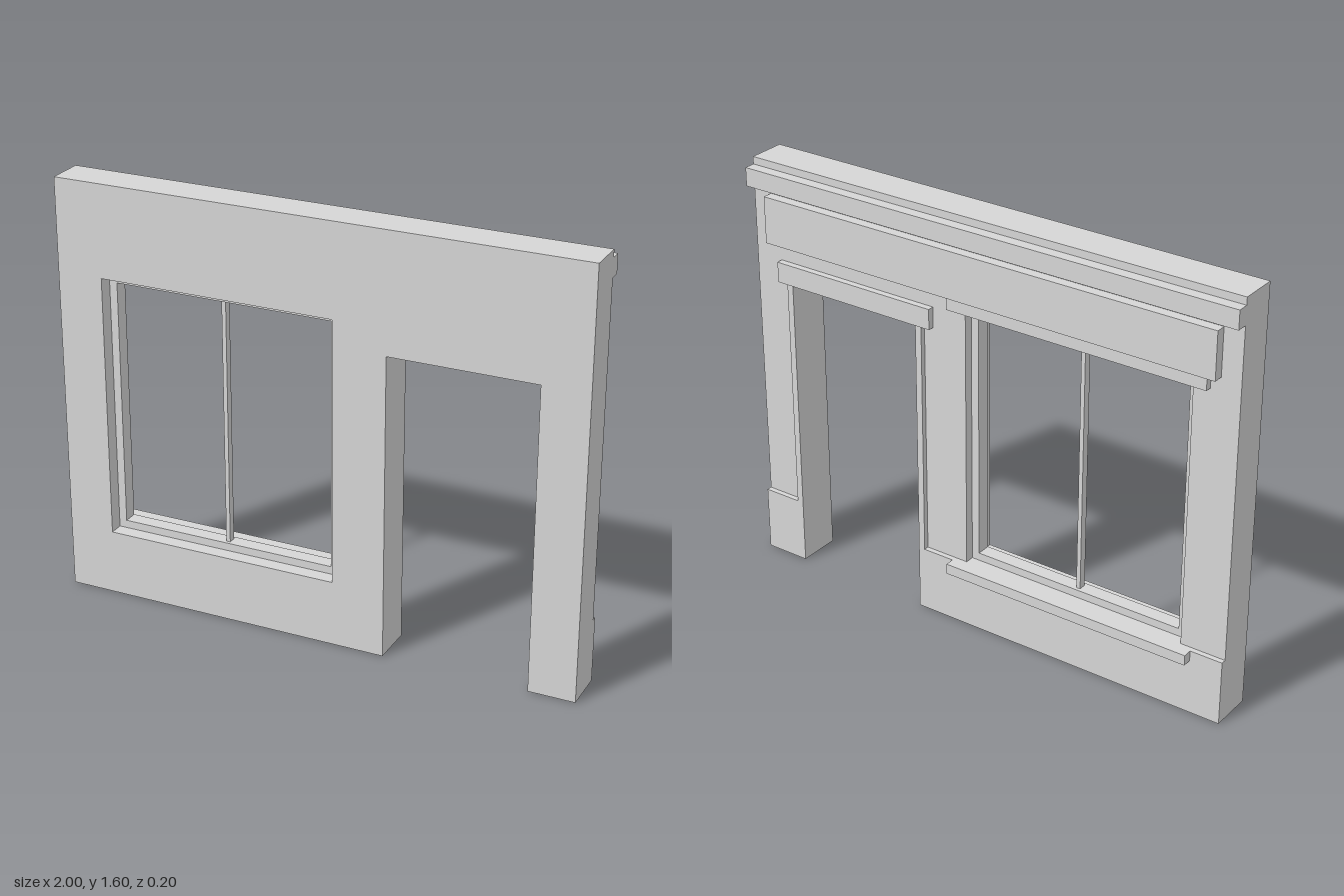
import * as THREE from 'three';

const BACK = -0.045;
const DOOR_TOP = 1.152;

export function createModel() {
  const model = new THREE.Group();
  const plaster = new THREE.MeshStandardMaterial({ color: 0xd6d6d6 });
  plaster.name = 'plainGrey';

  // box given by its extents
  function box(name, x0, x1, y0, y1, z0, z1) {
    const mesh = new THREE.Mesh(new THREE.BoxGeometry(x1 - x0, y1 - y0, z1 - z0), plaster);
    mesh.position.set((x0 + x1) / 2, (y0 + y1) / 2, (z0 + z1) / 2);
    mesh.name = name;
    model.add(mesh);
  }
  const points = (list) => list.map(([x, y]) => new THREE.Vector2(x, y));
  // counter-clockwise rectangle
  const rect = (x0, x1, y0, y1) => points([[x0, y0], [x1, y0], [x1, y1], [x0, y1]]);
  // extruded outline with one hole
  function slab(name, outline, hole, z0, z1) {
    const shape = new THREE.Shape(outline);
    shape.holes.push(new THREE.Path(hole.reverse()));
    const geo = new THREE.ExtrudeGeometry(shape, { depth: z1 - z0, bevelEnabled: false });
    const mesh = new THREE.Mesh(geo, plaster);
    mesh.position.z = z0;
    mesh.name = name;
    model.add(mesh);
  }

  // wall with a doorway cut from the floor and a window hole
  const outline = points([[-1, 0], [0.275, 0], [0.275, DOOR_TOP], [0.825, DOOR_TOP],
    [0.825, 0], [1, 0], [1, 1.6], [-1, 1.6]]);
  slab('wall', outline, rect(-0.825, 0.075, 0.25, 1.25), BACK, 0.1);

  // window frame and mullion, recessed in the hole
  slab('windowFrame', rect(-0.825, 0.075, 0.25, 1.25), rect(-0.795, 0.045, 0.28, 1.22), -0.01, 0.045);
  box('windowMullion', -0.383, -0.367, 0.28, 1.22, 0.003, 0.032);

  // plinth on both sides of the doorway
  box('plinthWide', -1, 0.275, 0, 0.25, -0.065, BACK);
  box('plinthNarrow', 0.85, 1, 0, 0.25, -0.065, BACK);

  // door trim
  box('doorTrimRight', 0.25, 0.275, 0.25, DOOR_TOP, -0.065, BACK);
  box('doorTrimLeft', 0.825, 0.85, 0, DOOR_TOP, -0.065, BACK);

  // mouldings on the back
  box('doorLintel', 0.212, 0.888, DOOR_TOP, 1.23, -0.07, BACK);
  box('windowLintel', -0.888, 0.138, 1.25, 1.3, -0.07, BACK);
  box('windowSill', -0.875, 0.125, 0.21, 0.25, -0.1, BACK);
  box('fasciaBoard', -0.925, 0.925, 1.3, 1.478, -0.083, BACK);
  box('cornice', -1, 1, 1.502, 1.572, -0.087, BACK);

  return model;
}
